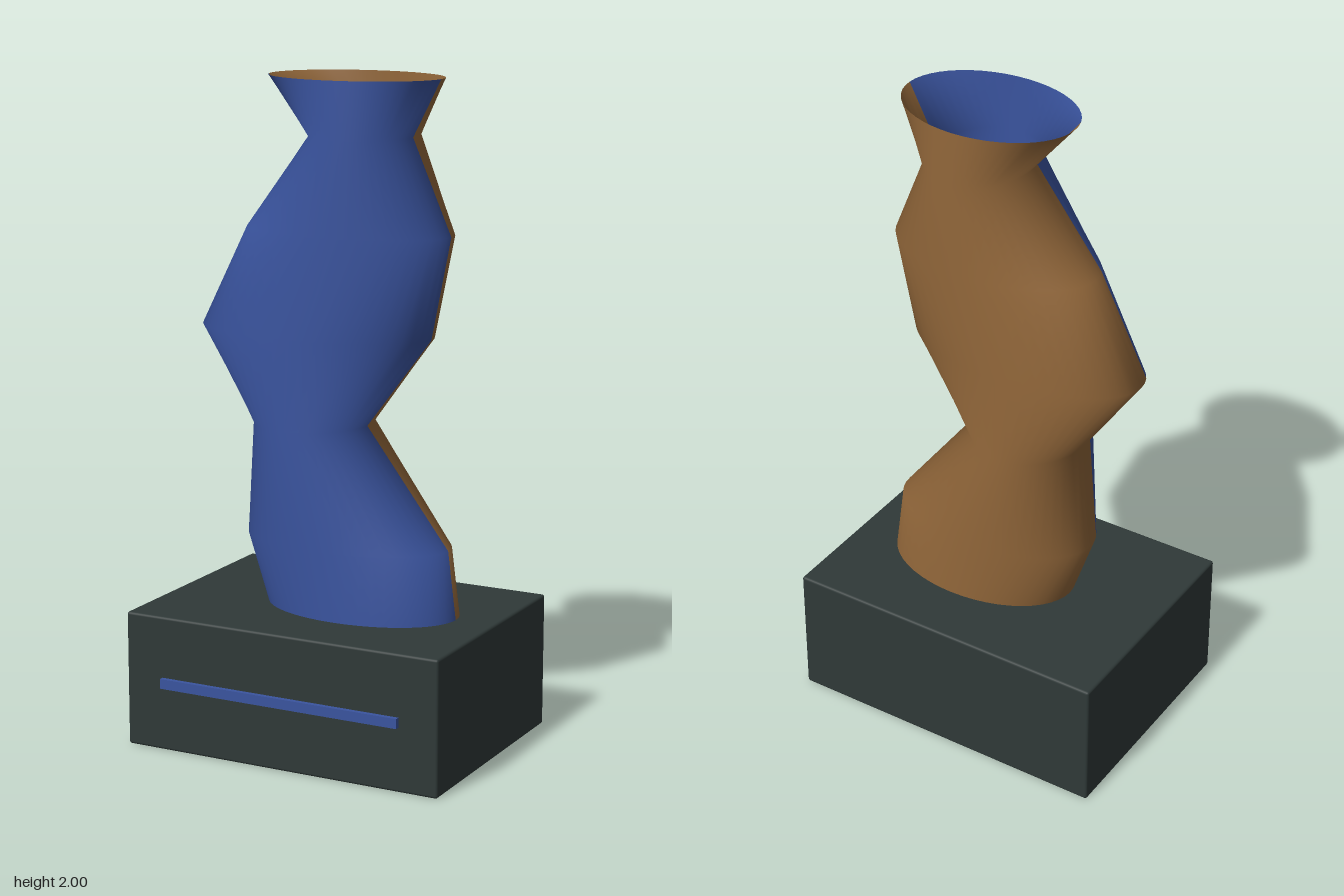
import * as THREE from 'three';
import { RoundedBoxGeometry } from 'three/addons/geometries/RoundedBoxGeometry.js';

const SEGMENTS = 48;
const FRONT_SEGMENTS = 22; // columns painted blue, starting from the +x edge
const CENTRE_Z = -0.0075;
const DEPTH = 0.1925;

// Height, right-hand edge and left-hand edge of each elliptical ring
const RINGS = [
  [0.41, -0.22, 0.392],
  [0.62, -0.292, 0.365],
  [0.97, -0.258, 0.097],
  [1.245, -0.447, 0.305],
  [1.55, -0.29, 0.366],
  [1.83, -0.068, 0.242],
  [2.0, -0.212, 0.33],
];

function material(name, color, side = THREE.FrontSide) {
  const m = new THREE.MeshStandardMaterial({ color, side });
  m.name = name;
  return m;
}

// Open tube lofted through the rings, grouped into front and back columns
function loftGeometry() {
  const positions = [];
  for (const [y, x0, x1] of RINGS) {
    for (let j = 0; j < SEGMENTS; j++) {
      const a = (j / SEGMENTS) * Math.PI * 2;
      positions.push((x0 + x1) / 2 + ((x1 - x0) / 2) * Math.cos(a), y, CENTRE_Z + DEPTH * Math.sin(a));
    }
  }
  const index = [];
  for (let j = 0; j < SEGMENTS; j++) {
    const k = (j + 1) % SEGMENTS;
    for (let i = 0; i < RINGS.length - 1; i++) {
      const low = i * SEGMENTS, high = low + SEGMENTS;
      index.push(low + j, high + j, low + k, high + j, high + k, low + k);
    }
  }
  const geometry = new THREE.BufferGeometry();
  geometry.setAttribute('position', new THREE.Float32BufferAttribute(positions, 3));
  geometry.setIndex(index);
  geometry.computeVertexNormals();
  const split = FRONT_SEGMENTS * (RINGS.length - 1) * 6;
  geometry.addGroup(0, split, 0);
  geometry.addGroup(split, index.length - split, 1);
  return geometry;
}

export function createModel() {
  const group = new THREE.Group();
  group.name = 'sculpture';

  const blue = material('blue', 0x3a549f, THREE.DoubleSide);
  const bronze = material('bronze', 0x92673a, THREE.DoubleSide);
  const dark = material('dark slate', 0x2f3938);

  const add = (name, geometry, mat, x, y, z) => {
    const mesh = new THREE.Mesh(geometry, mat);
    mesh.name = name;
    mesh.position.set(x, y, z);
    group.add(mesh);
  };

  // Plinth with softened edges
  add('plinth', new RoundedBoxGeometry(1.03, 0.413, 0.755, 2, 0.008), dark, 0, 0.2065, CENTRE_Z);
  // Raised bar on the plinth front
  add('plinthBar', new THREE.BoxGeometry(0.785, 0.03, 0.025), blue, 0, 0.21, 0.3725);
  // Hollow twisting body
  add('body', loftGeometry(), [blue, bronze], 0, 0, 0);

  return group;
}
